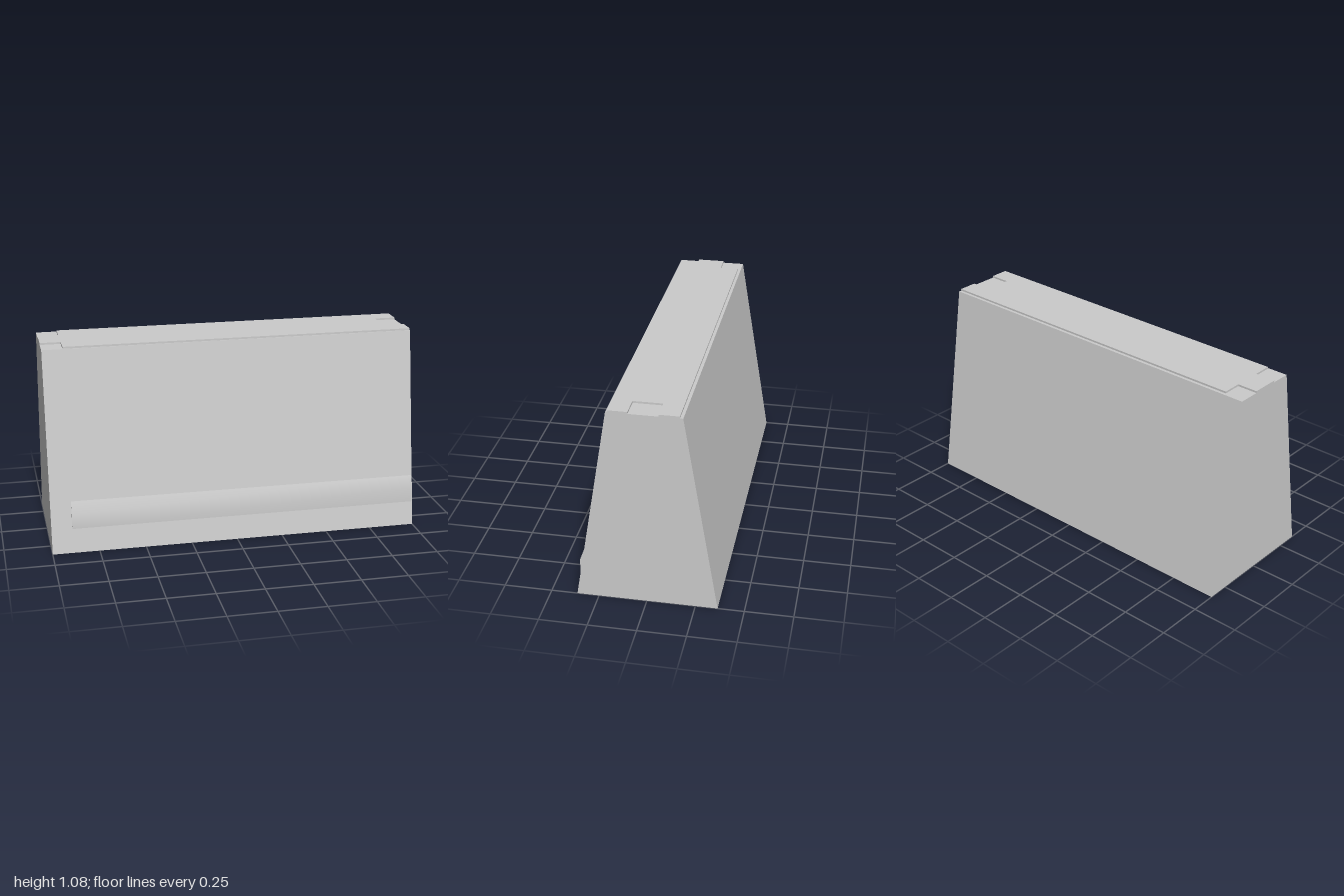
import * as THREE from 'three';
import { toCreasedNormals } from 'three/addons/utils/BufferGeometryUtils.js';

const material = new THREE.MeshStandardMaterial({ color: 0xcccccc });
const H = 1.07; // shoulder height below the cap plate
const shapeOf = (points) => new THREE.Shape(points.map(([a, b]) => new THREE.Vector2(a, b)));

// Sweep a [z, y] profile along x from x0 to x1
function sweepX(profile, x0, x1) {
  const geo = new THREE.ExtrudeGeometry(shapeOf(profile), { depth: x1 - x0, bevelEnabled: false });
  return geo.rotateY(-Math.PI / 2).translate(x1, 0, 0);
}

// Raise an [x, z] outline from y0 by the given height
function raiseY(outline, y0, height) {
  const shape = shapeOf(outline.map(([x, z]) => [x, -z]));
  const geo = new THREE.ExtrudeGeometry(shape, { depth: height, bevelEnabled: false });
  return geo.rotateX(-Math.PI / 2).translate(0, y0, 0);
}

export function createModel() {
  const group = new THREE.Group();
  const add = (name, geometry) => {
    const mesh = new THREE.Mesh(geometry, material);
    mesh.name = name;
    group.add(mesh);
  };

  // Tapered wall body
  add('wallBody', sweepX([[0.364, 0], [0.188, H], [-0.188, H], [-0.364, 0]], -1, 1));

  // Shallow ridge low on the front, its back sunk into the body
  const ridge = sweepX([[0.343, 0.128], [0.343, 0.21], [0.319, 0.275], [0.3, 0.275], [0.3, 0.128]], -0.89, 0.998);
  add('frontRidge', toCreasedNormals(ridge, 0.6));

  // Thin cap plate: tongue at -x, matching slot at +x
  const front = 0.181, back = -0.172, tongueFront = 0.08, tongueBack = -0.07;
  add('capPlate', raiseY([
    [-0.89, back], [1, back], [1, tongueBack], [0.885, tongueBack],
    [0.885, tongueFront], [1, tongueFront], [1, front], [-0.89, front],
    [-0.89, tongueFront], [-1, tongueFront], [-1, tongueBack], [-0.89, tongueBack],
  ], H, 0.01));

  return group;
}
